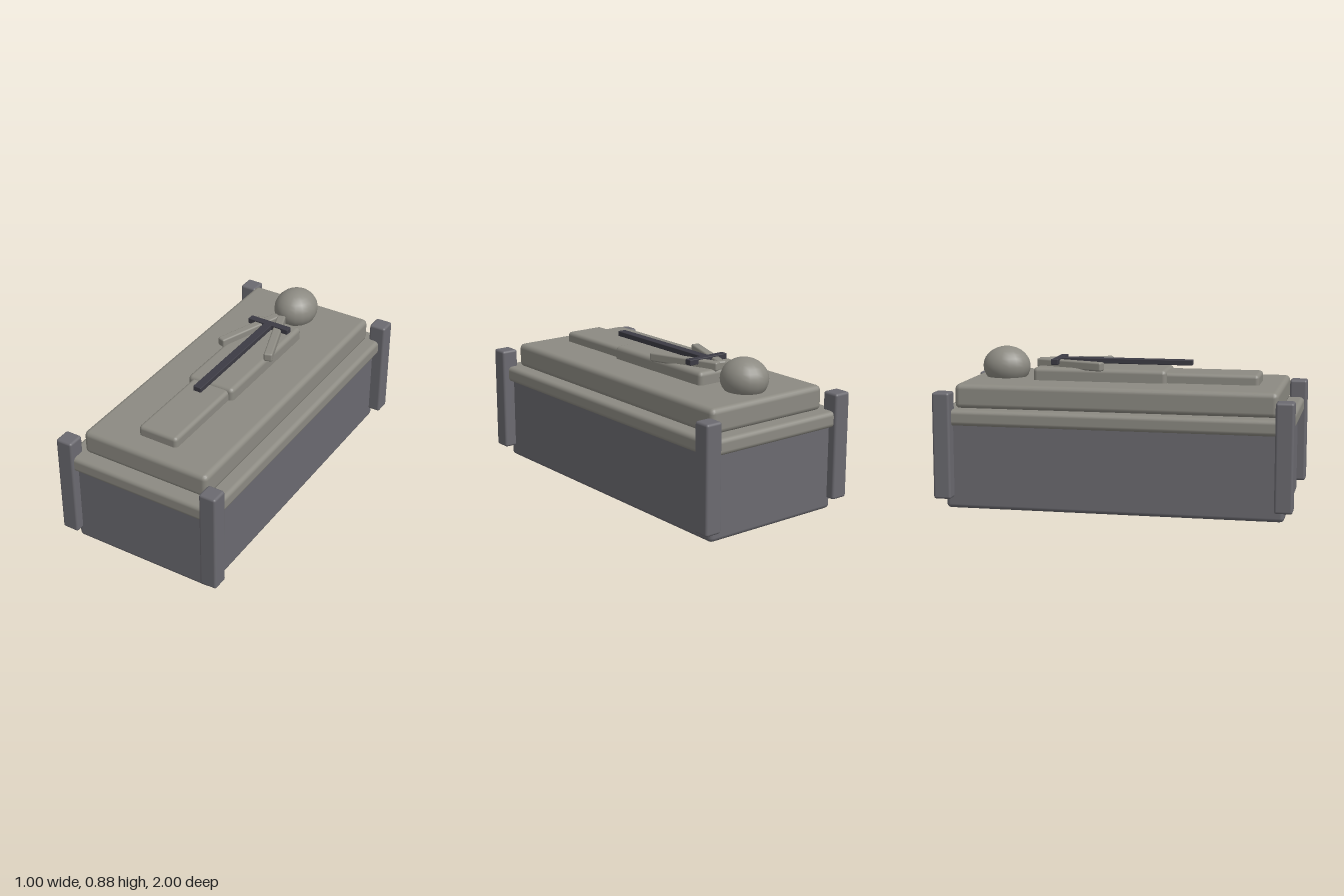
import * as THREE from 'three';
import { RoundedBoxGeometry } from 'three/addons/geometries/RoundedBoxGeometry.js';

export function createModel() {
  const tomb = new THREE.Group();
  tomb.name = 'effigyTomb';

  const darkStone = new THREE.MeshStandardMaterial({ color: 0x6b6a70 });
  const paleStone = new THREE.MeshStandardMaterial({ color: 0x8c8a82 });
  const iron = new THREE.MeshStandardMaterial({ color: 0x3c3b44 });

  // Rounded block given by its size and centre
  function block(name, material, [w, h, d], [x, y, z], radius) {
    const mesh = new THREE.Mesh(new RoundedBoxGeometry(w, h, d, 2, radius), material);
    mesh.name = name;
    mesh.position.set(x, y, z);
    tomb.add(mesh);
    return mesh;
  }

  // Chest, its ledge and the lid
  block('chest', darkStone, [0.86, 0.5, 1.9], [0, 0.25, 0], 0.025);
  block('ledge', paleStone, [0.93, 0.09, 1.97], [0, 0.52, 0], 0.025);
  block('lid', paleStone, [0.775, 0.14, 1.81], [0, 0.63, 0], 0.03);

  // Corner posts
  for (const x of [-0.45, 0.45]) {
    for (const z of [-0.95, 0.95]) {
      block('cornerPost', darkStone, [0.1, 0.6, 0.1], [x, 0.365, z], 0.014);
    }
  }

  // Lying figure
  block('torso', paleStone, [0.29, 0.11, 0.77], [0, 0.718, -0.13], 0.025);
  block('legs', paleStone, [0.24, 0.09, 0.6], [0, 0.713, 0.472], 0.022);
  const head = new THREE.Mesh(new THREE.SphereGeometry(1, 18, 14), paleStone);
  head.name = 'head';
  head.scale.set(0.127, 0.115, 0.138);
  head.position.set(0, 0.761, -0.708);
  tomb.add(head);

  // Arms folded together below the chin
  for (const side of [-1, 1]) {
    const arm = block('arm', paleStone, [0.05, 0.05, 0.43], [side * 0.084, 0.787, -0.31], 0.01);
    arm.rotation.y = side * 0.34;
  }

  // Sword laid along the body
  block('swordBlade', iron, [0.05, 0.03, 0.785], [0, 0.805, -0.008], 0.004);
  block('swordGuard', iron, [0.26, 0.032, 0.042], [0, 0.804, -0.392], 0.004);

  return tomb;
}
